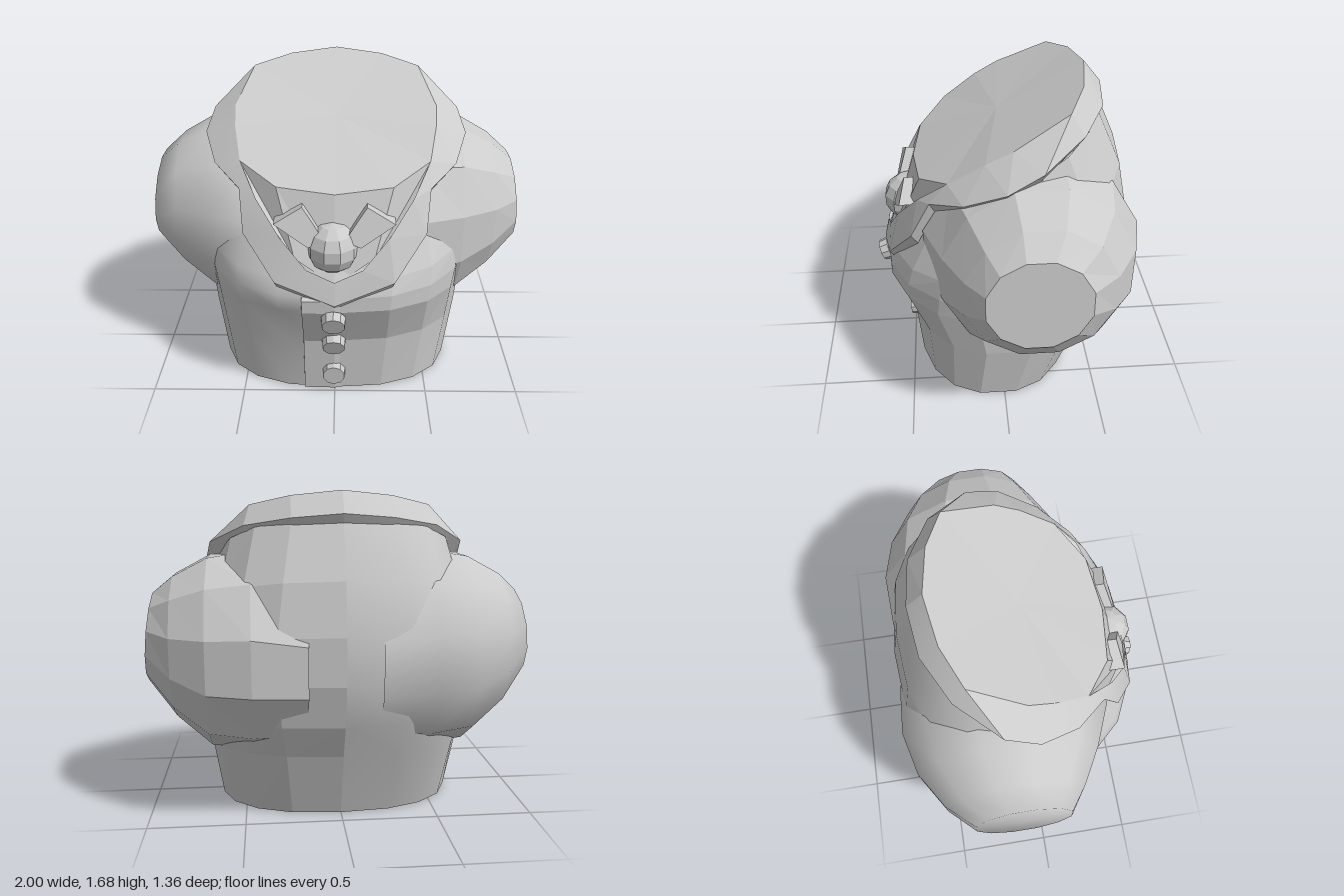
import * as THREE from 'three';
import { toCreasedNormals } from 'three/addons/utils/BufferGeometryUtils.js';
import { ConvexGeometry } from 'three/addons/geometries/ConvexGeometry.js';

const flat = new THREE.MeshStandardMaterial({ color: 0xcccccc, flatShading: true, side: THREE.DoubleSide });
const smooth = new THREE.MeshStandardMaterial({ color: 0xcccccc, side: THREE.DoubleSide });

// Skin a list of rows of [x, y, z] points; side -1 mirrors the result in x
function loft(rows, side = 1, closed = false) {
  const n = rows[0].length, pos = [], idx = [];
  rows.forEach(r => r.forEach(p => pos.push(p[0] * side, p[1], p[2])));
  for (let i = 0; i < rows.length - 1; i++) {
    for (let j = 0; j < (closed ? n : n - 1); j++) {
      const k = (j + 1) % n;
      const a = i * n + j, b = i * n + k, c = a + n, d = b + n;
      if (side > 0) idx.push(a, b, d, a, d, c);
      else idx.push(a, d, b, a, c, d);
    }
  }
  const g = new THREE.BufferGeometry();
  g.setAttribute('position', new THREE.Float32BufferAttribute(pos, 3));
  g.setIndex(idx);
  g.computeVertexNormals();
  return g;
}

// Torso rings: front y, front z, back y, back z, half width, roundness of the back
const RINGS = [
  [0, 0.47, 0, -0.40, 0.64, 0.85],
  [0.34, 0.50, 0.36, -0.53, 0.69, 0.82],
  [0.60, 0.62, 0.54, -0.62, 0.70, 0.76],
  [0.68, 0.62, 0.76, -0.675, 0.72, 0.74],
  [0.76, 0.59, 1.0, -0.675, 0.72, 0.74],
  [0.90, 0.50, 1.26, -0.625, 0.68, 0.78],
  [1.08, 0.42, 1.55, -0.495, 0.62, 0.85],
];
function halfRing([fy, fz, by, bz, w, back], n = 9) {
  const pts = [];
  for (let j = 0; j <= n; j++) {
    const t = Math.PI * j / n, c = Math.cos(t), e = c < 0 ? back : 0.85;
    const k = Math.sign(c) * Math.pow(Math.abs(c), e);
    const x = j === n ? 0 : w * Math.pow(Math.sin(t), e);
    pts.push([x, (fy + by) / 2 + k * (fy - by) / 2, (fz + bz) / 2 + k * (fz - bz) / 2]);
  }
  return pts;
}

// Sleeve rings from inside the back outwards: x, x shift at the top, low y, high y, back z, front z
const SLEEVE = [
  [0.18, 0, 0.36, 1.30, -0.67, 0.30],
  [0.45, 0, 0.33, 1.38, -0.68, 0.40],
  [0.67, 0, 0.36, 1.345, -0.625, 0.31],
  [0.85, 0, 0.51, 1.25, -0.51, 0.21],
  [0.98, -0.02, 0.70, 1.16, -0.37, 0.12],
];
function sleeveRing([x, shift, y0, y1, z0, z1]) {
  return Array.from({ length: 12 }, (_, j) => {
    const t = Math.PI * 2 * (j + 0.5) / 12, c = Math.cos(t) / Math.cos(Math.PI / 12);
    const s = Math.sin(t) / Math.cos(Math.PI / 12);
    return [x + shift * c, (y0 + y1) / 2 + c * (y1 - y0) / 2, (z0 + z1) / 2 + s * (z1 - z0) / 2];
  });
}

// Collar edges from the nape to the point of the V
const INNER = [
  [0, 1.68, -0.44], [0.25, 1.655, -0.40], [0.45, 1.61, -0.31], [0.53, 1.47, -0.04],
  [0.52, 1.40, 0.09], [0.48, 1.28, 0.27], [0.39, 1.14, 0.42], [0.27, 0.98, 0.53],
  [0.14, 0.83, 0.585], [0, 0.77, 0.605],
];
const OUTER = [
  [0, 1.57, -0.53], [0.25, 1.55, -0.50], [0.48, 1.51, -0.38], [0.66, 1.42, -0.17],
  [0.69, 1.335, 0], [0.62, 1.24, 0.20], [0.48, 1.17, 0.36], [0.46, 0.97, 0.46],
  [0.30, 0.76, 0.59], [0, 0.65, 0.635],
];

export function createModel() {
  const model = new THREE.Group();
  const add = (name, geometry, material = flat) => {
    const m = new THREE.Mesh(geometry, material);
    m.name = name;
    model.add(m);
    return m;
  };

  const torso = RINGS.map(r => halfRing(r));
  const sleeve = SLEEVE.map(sleeveRing);
  sleeve.push(sleeve.at(-1).map(() => [0.98, 0.93, -0.125]));
  const rim = OUTER.map(([x, y, z]) => [x * 0.92, y - 0.07, z * 0.93]);
  const shirtTop = [[0, 1.175, 0.445], [0.29, 1.20, 0.41], [0.48, 1.28, 0.27]];
  const shirtBottom = [[0, 0.74, 0.58], [0.20, 0.87, 0.54], [0.42, 1.14, 0.39]];
  const neckEdge = [...INNER.slice(0, 6), shirtTop[1], shirtTop[0]];

  // The left half is faceted, the right half smooth
  for (const side of [1, -1]) {
    const label = side > 0 ? 'left' : 'right';
    const mat = side > 0 ? flat : smooth;
    add(label + 'Torso', loft(torso, side), mat);
    add(label + 'Base', loft([torso[0].map(() => [0, 0, 0]), torso[0]], side));
    add(label + 'Sleeve', loft(sleeve, side, true), mat);
    const collar = loft([INNER, OUTER, rim], side);
    add(label + 'Collar', side > 0 ? collar : toCreasedNormals(collar, 0.7), mat);
    add(label + 'NeckCut', loft([neckEdge.map(() => [0, 1.435, 0]), neckEdge], side));
    add(label + 'ShirtFront', loft([shirtBottom, shirtTop], side));

    // Bow tie wing, lying on the sloping shirt
    const wing = [];
    for (const depth of [-0.06, 0.035]) {
      wing.push(...[[0.05, 0.97], [0.11, 1.06], [0.16, 1.13], [0.30, 1.05], [0.13, 0.94]]
        .map(([x, y]) => new THREE.Vector3(x * side, y, 0.44 + (1.18 - y) * 0.34 + depth)));
    }
    add(label + 'BowWing', new ConvexGeometry(wing));
  }

  // Bow tie knot
  const knot = add('bowKnot', new THREE.SphereGeometry(0.135, 10, 7));
  knot.position.set(-0.01, 0.91, 0.485);

  // Overlapping front edge of the jacket, sunk into the torso at its top and far side
  const placket = [[0, 0.47], [0.34, 0.50], [0.60, 0.62], [0.67, 0.62], [0.71, 0.56]].map(([y, z]) =>
    [[-0.17, y, z - 0.05], [-0.165, y, z + 0.002], [0, y, z + 0.006], [0.17, y, z - 0.05]]);
  add('placket', loft(placket));

  // Buttons: y, z, downward tilt
  for (const [y, z, tilt] of [[0.55, 0.635, 0.35], [0.335, 0.525, 0.38], [0.12, 0.495, 0.08]]) {
    const button = add('button', new THREE.CylinderGeometry(0.06, 0.065, 0.05, 10));
    button.position.set(-0.005, y, z);
    button.rotation.x = Math.PI / 2 + tilt;
  }
  return model;
}
